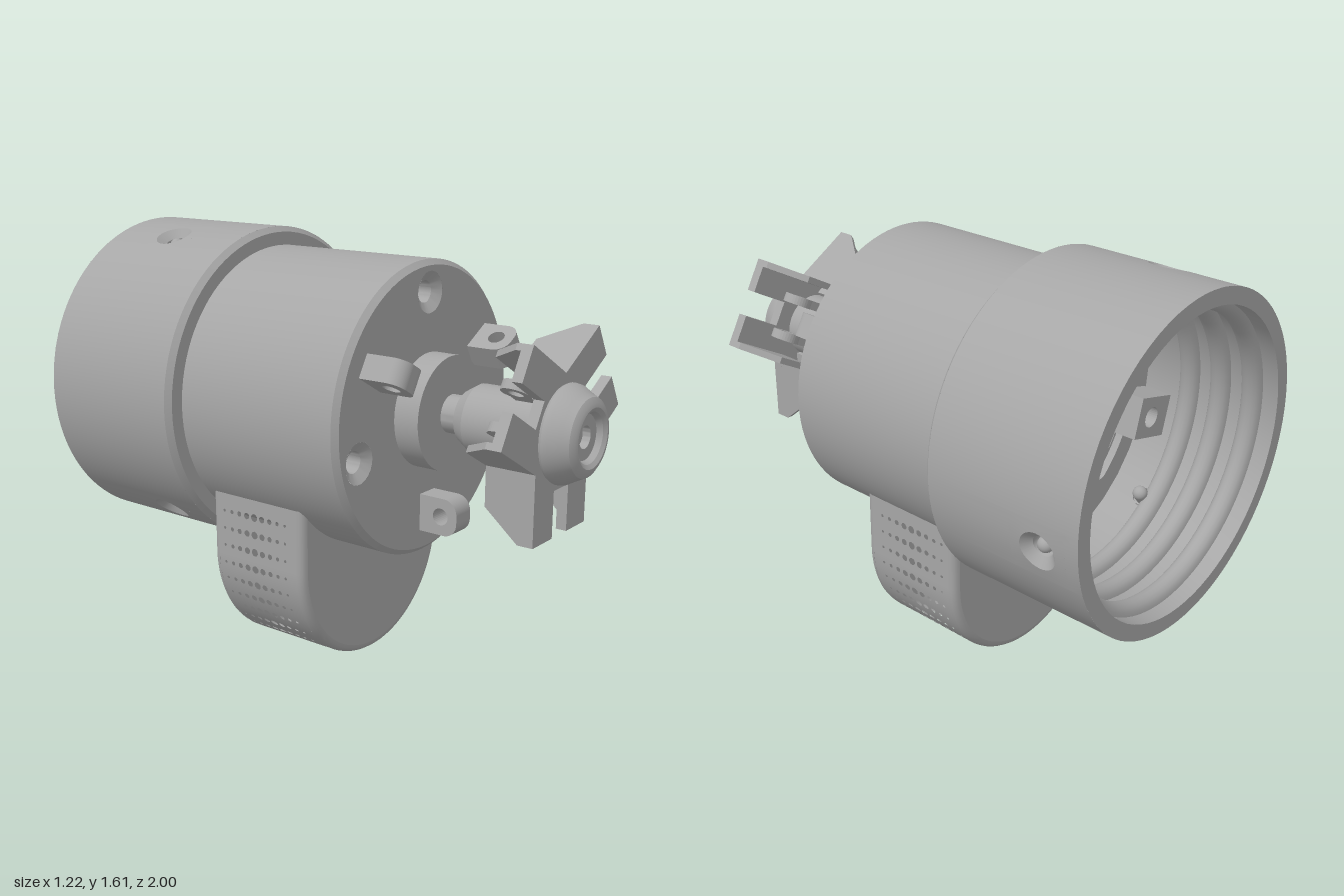
import * as THREE from 'three';
import { mergeGeometries, toCreasedNormals } from 'three/addons/utils/BufferGeometryUtils.js';

const metal = new THREE.MeshStandardMaterial({ color: 0xa6a6a6, side: THREE.DoubleSide });
metal.name = 'grey metal';
const P = Math.PI;
const armAngles = [P / 6, (5 * P) / 6, (3 * P) / 2];
const screwAngles = [P / 2, P * 195 / 180, -P * 15 / 180];

// Joins loops of [x, y, z] points into a surface
function loft(rings, closed = false) {
  const n = rings[0].length, index = [];
  for (let k = 0; k < rings.length - 1; k++) {
    for (let i = 0; i < (closed ? n : n - 1); i++) {
      const j = (i + 1) % n, a = k * n, b = a + n;
      index.push(a + i, a + j, b + i, a + j, b + j, b + i);
    }
  }
  const g = new THREE.BufferGeometry();
  g.setAttribute('position', new THREE.Float32BufferAttribute(rings.flat(2), 3));
  g.setIndex(index);
  return g.toNonIndexed();
}

// Turned part round the z axis; profile is [radius, z] pairs
function turned(profile, segments = 72) {
  const g = new THREE.LatheGeometry(profile.map(p => new THREE.Vector2(p[0], p[1])), segments);
  return toCreasedNormals(g.rotateX(P / 2), 0.5);
}

const polygon = pts => new THREE.Shape(pts.map(p => new THREE.Vector2(p[0], p[1])));

function hole(shape, x, y, r) {
  shape.holes.push(new THREE.Path().absarc(x, y, r, 0, P * 2, true));
  return shape;
}

function extrude(shape, depth) {
  return new THREE.ExtrudeGeometry(shape, { depth, bevelEnabled: false, curveSegments: 16 });
}

// Plate lying in the (radius, z) plane, offset sideways from the radial line
function radialPlate(shape, thickness, offset) {
  return extrude(shape, thickness).rotateX(P / 2).translate(0, offset + thickness / 2, 0);
}

export function createModel() {
  const root = new THREE.Group();
  const axis = new THREE.Group();
  axis.name = 'mainAxis';
  axis.position.y = 1;
  root.add(axis);
  const add = (name, geometry, angle = 0) => {
    const m = new THREE.Mesh(geometry, metal);
    m.name = name;
    m.rotation.z = angle;
    axis.add(m);
    return m;
  };

  // Main barrel and step up to the collar
  add('barrel', turned([[0.61, -0.39], [0.59, -0.37], [0.54, -0.37], [0.54, 0.32], [0.52, 0.34]], 96));

  // Front face with three countersunk through holes
  const face = new THREE.Shape().absarc(0, 0, 0.52, 0, P * 2, false);
  for (const a of screwAngles) hole(face, 0.425 * Math.cos(a), 0.425 * Math.sin(a), 0.075);
  add('frontFace', new THREE.ShapeGeometry(face, 48).translate(0, 0, 0.34));
  for (const a of screwAngles) {
    add('countersink', turned([[0.04, 0.2], [0.04, 0.315], [0.075, 0.34]], 24))
      .position.set(0.425 * Math.cos(a), 0.425 * Math.sin(a), 0);
  }

  // Collar skin, with a countersunk hole in each of three sectors
  const R = 0.61, S = 0.11, half = S / R;
  const onCollar = (a, z, r = R) => [r * Math.cos(a), r * Math.sin(a), z];
  const skin = (a0, a1, z0, z1, n) => loft([z0, z1].map(z =>
    Array.from({ length: n + 1 }, (_, i) => onCollar(a0 + (a1 - a0) * i / n, z))));
  const skins = [];
  [-0.84, -0.72, -0.6].forEach((zc, k) => {
    const a = -P / 18 + k * P * 2 / 3;
    skins.push(skin(a + half, a + P * 2 / 3 - half, -1, -0.39, 28));
    skins.push(skin(a - half, a + half, -1, zc - S, 6), skin(a - half, a + half, zc + S, -0.39, 6));
    // mix: 0 square border, 1 round edge
    const ring = (mix, r, depth) => Array.from({ length: 32 }, (_, i) => {
      const c = Math.cos(i * P / 16), s = Math.sin(i * P / 16);
      const q = (1 - mix) * S / Math.max(Math.abs(c), Math.abs(s)) + mix * r;
      return onCollar(a + q * c / R, zc + q * s, R - depth);
    });
    skins.push(loft([ring(0, 0.07, 0), ring(0.5, 0.07, 0), ring(1, 0.07, 0),
      ring(1, 0.04, 0.03), ring(1, 0.04, 0.07)], true));
    // Grub screw ending in a small round tip inside the collar
    const pin = new THREE.CapsuleGeometry(0.028, 0.06, 6, 16).rotateZ(P / 2).translate(0.535, 0, zc);
    add('grubScrew', pin, a);
  });
  add('collar', toCreasedNormals(mergeGeometries(skins), 0.5));

  // Threaded collar bore
  const bore = [[0.61, -1], [0.55, -1]];
  for (const z of [-0.9, -0.77, -0.64]) {
    for (let i = 0; i <= 8; i++) {
      bore.push([0.55 - 0.04 * Math.sin(i * P / 8), z - 0.04 * Math.cos(i * P / 8)]);
    }
  }
  bore.push([0.55, -0.45]);
  add('threadedBore', turned(bore));

  // Inner floor with curved slots, and the inner tube
  const floor = hole(new THREE.Shape().absarc(0, 0, 0.55, 0, P * 2, false), 0, 0, 0.3);
  for (const a of screwAngles) {
    const s = new THREE.Path(), w = 0.6;
    s.absarc(0, 0, 0.465, a - w, a + w, false);
    s.absarc(0.425 * Math.cos(a + w), 0.425 * Math.sin(a + w), 0.04, a + w, a + w + P, false);
    s.absarc(0, 0, 0.385, a + w, a - w, true);
    s.absarc(0.425 * Math.cos(a - w), 0.425 * Math.sin(a - w), 0.04, a - w + P, a - w + 2 * P, false);
    floor.holes.push(s);
    const block = hole(polygon([[0.34, -0.08], [0.53, -0.08], [0.53, 0.08], [0.34, 0.08]]), 0.425, 0, 0.04);
    add('screwBlock', extrude(block, 0.12).translate(0, 0, -0.57), a);
  }
  add('innerFloor', extrude(floor, 0.03).translate(0, 0, -0.45));
  add('innerTube', turned([[0.3, -0.44], [0.3, 0.3], [0, 0.3]]));
  add('innerHub', turned([[0, -0.2], [0.1, -0.2], [0.1, 0.3]], 32));
  for (const a of armAngles) {
    add('innerArm', new THREE.BoxGeometry(0.2, 0.09, 0.22).translate(0.18, 0, -0.1), a);
  }

  // Lower housing: rounded U outline, inset by d
  const outline = d => {
    const w = 0.43 - d, pts = [[-w, -0.33]];
    for (let i = 0; i <= 48; i++) {
      const t = P + i * P / 48;
      pts.push([w * Math.cos(t), -0.57 + w * Math.sin(t)]);
    }
    return [...pts, [w, -0.33]];
  };
  for (const [z, dir] of [[0.07, 1], [-0.31, -1]]) {
    const rings = [0, 1, 2, 3, 4].map(k => outline(0.03 * (1 - Math.cos(k * P / 8)))
      .map(p => [...p, z + dir * 0.03 * Math.sin(k * P / 8)]));
    add('housingEdge', toCreasedNormals(loft(rings), 0.6));
    const side = polygon(outline(0.03));
    const t = Math.atan2(-0.33, 0.4);
    side.absarc(0, 0, Math.hypot(0.4, 0.33), t, -P - t, true);
    add('housingSide', new THREE.ShapeGeometry(side, 24).translate(0, 0, z + dir * 0.03));
  }

  // Perforated housing wall: flat strips bent round the U
  const straight = 0.24, length = 2 * straight + P * 0.43, pitch = length / 27;
  const strips = [];
  for (let i = 0; i < 28; i++) {
    const s0 = Math.max(0, (i - 0.5) * pitch), s1 = Math.min(length, (i + 0.5) * pitch);
    const strip = polygon([[s0, -0.31], [s1, -0.31], [s1, 0.07], [s0, 0.07]]);
    if (i > 0 && i < 27) {
      for (let k = -4; k <= 4; k++) {
        hole(strip, i * pitch, -0.13 + k * 0.037, 0.015 - 0.0023 * Math.abs(k));
      }
    }
    strips.push(new THREE.ShapeGeometry(strip, 5));
  }
  const wall = mergeGeometries(strips);
  const pos = wall.attributes.position, nor = wall.attributes.normal;
  for (let i = 0; i < pos.count; i++) {
    const s = pos.getX(i), z = pos.getY(i);
    const t = P + Math.min(P, Math.max(0, (s - straight) / 0.43));
    const rise = Math.max(0, straight - s, s - (length - straight));
    pos.setXYZ(i, 0.43 * Math.cos(t), -0.57 + 0.43 * Math.sin(t) + rise, z);
    nor.setXYZ(i, Math.cos(t), Math.sin(t), 0);
  }
  // Turn the corner order so that the outside is the front
  const ix = wall.index;
  for (let i = 0; i < ix.count; i += 3) {
    const b = ix.getX(i + 1);
    ix.setX(i + 1, ix.getX(i + 2));
    ix.setX(i + 2, b);
  }
  add('perforatedWall', wall);

  // Boss, shaft and nose
  add('boss', turned([[0.21, 0.34], [0.21, 0.44], [0, 0.44]]));
  add('shaft', turned([[0.07, 0.44], [0.07, 0.51], [0.095, 0.51], [0.125, 0.56], [0.125, 0.89]], 48));
  add('nose', turned([[0.12, 0.87], [0.165, 0.88], [0.175, 0.9], [0.172, 0.92], [0.15, 0.96], [0.138, 0.985],
    [0.12, 0.997], [0.105, 1], [0.09, 0.99], [0.08, 0.97], [0.04, 0.97], [0.04, 0.94], [0, 0.94]], 48));

  // Three-armed spider: front plate, chamfered side walls and hinges
  const star = armAngles.flatMap(a => [[0.104, -0.18], [0.36, -0.18], [0.36, -0.05], [0.19, -0.05],
    [0.19, 0.05], [0.36, 0.05], [0.36, 0.18]].map(([x, y]) =>
    [x * Math.cos(a) - y * Math.sin(a), x * Math.sin(a) + y * Math.cos(a)]));
  add('spiderPlate', extrude(polygon(star), 0.04).translate(0, 0, 0.85));
  const web = polygon([[0.1, 0.89], [0.36, 0.89], [0.36, 0.83], [0.25, 0.7], [0.1, 0.7]]);
  const eye = hole(new THREE.Shape().absarc(0.19, 0.78, 0.055, 0, P * 2, false), 0.19, 0.78, 0.027);
  const stem = polygon([[0.1, 0.74], [0.16, 0.74], [0.16, 0.85], [0.1, 0.85]]);
  const lug = new THREE.Shape().moveTo(0.31, 0.34);
  lug.lineTo(0.45, 0.34);
  lug.absarc(0.395, 0.445, 0.055, 0, P / 2, false);
  lug.absarc(0.365, 0.445, 0.055, P / 2, P, false);
  hole(lug, 0.38, 0.43, 0.032);
  for (const a of armAngles) {
    for (const side of [-1, 1]) {
      add('spiderWall', radialPlate(web, 0.025, side * 0.1675), a);
      add('hingeEye', radialPlate(eye, 0.035, side * 0.075), a);
      add('hingeStem', radialPlate(stem, 0.035, side * 0.075), a);
    }
    add('bodyLug', radialPlate(lug, 0.09, 0), a);
  }
  return root;
}
